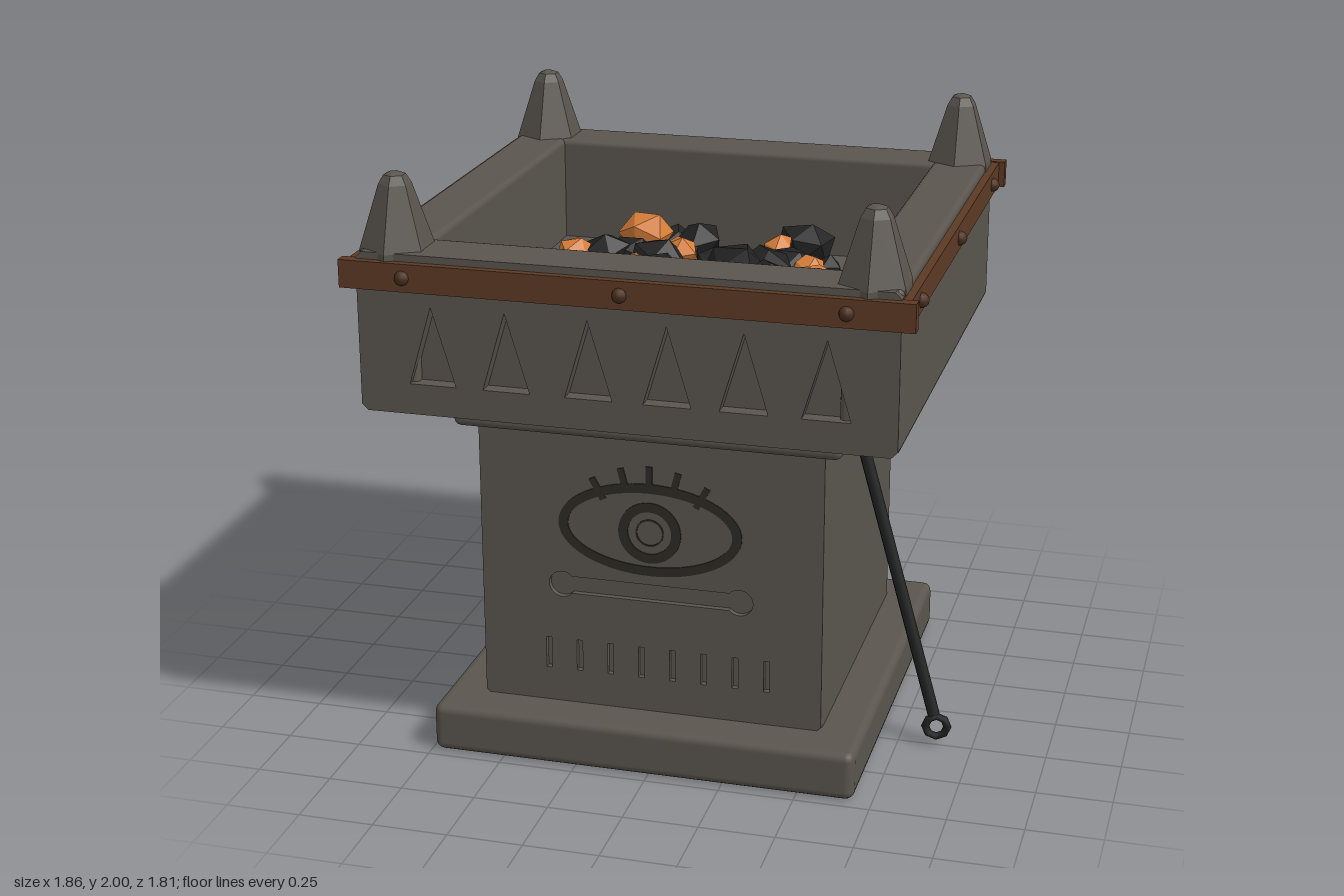
import * as THREE from 'three';
import { RoundedBoxGeometry } from 'three/addons/geometries/RoundedBoxGeometry.js';
import { mergeVertices } from 'three/addons/utils/BufferGeometryUtils.js';

const material = (name, color) => {
  const m = new THREE.MeshStandardMaterial({ color });
  m.name = name;
  return m;
};

export function createModel() {
  const model = new THREE.Group();
  model.name = 'stoneBrazier';
  const stone = material('stone', 0x5a554e);
  const groove = material('darkGroove', 0x2c2a27);
  const wood = material('brownBand', 0x5c3a24);
  const stud = material('brownStud', 0x4a2f1f);
  const coal = material('coal', 0x222222);
  const ember = material('ember', 0xd97f3a);
  const iron = material('iron', 0x1f2121);
  const CX = -0.025; // the stonework sits slightly off centre because of the poker

  const add = (name, geometry, mat, x = 0, y = 0, z = 0, parent = model) => {
    const mesh = new THREE.Mesh(geometry, mat);
    mesh.name = name;
    mesh.position.set(x, y, z);
    parent.add(mesh);
    return mesh;
  };
  // Rounded block given by its limits; x is measured from the stone centre
  const block = (name, x0, x1, y0, y1, z0, z1, r) =>
    add(name, new RoundedBoxGeometry(x1 - x0, y1 - y0, z1 - z0, 2, r), stone,
      CX + (x0 + x1) / 2, (y0 + y1) / 2, (z0 + z1) / 2);
  const polygon = (points) => new THREE.Shape(points.map(([x, y]) => new THREE.Vector2(x, y)));
  // Front slab with cut-outs and clipped corners
  const panel = (name, w, y0, y1, z0, z1, holes, c) => {
    const shape = polygon([[-w + c, y0], [w - c, y0], [w, y0 + c], [w, y1 - c],
      [w - c, y1], [c - w, y1], [-w, y1 - c], [-w, y0 + c]]);
    shape.holes = holes;
    add(name, new THREE.ExtrudeGeometry(shape, { depth: z1 - z0, bevelEnabled: false }), stone, CX, 0, z0);
  };

  // Plinth, column and neck
  block('plinth', -0.715, 0.715, 0, 0.167, -0.72, 0.72, 0.03);
  block('column', -0.575, 0.575, 0.15, 1.15, -0.575, 0.555, 0.015);
  block('neck', -0.64, 0.64, 1.135, 1.255, -0.64, 0.64, 0.025);

  // Column face with an engraved bar and a row of notches
  const bar = new THREE.Shape();
  const a = Math.asin(0.03 / 0.045);
  bar.absarc(0.3, 0.592, 0.045, a - Math.PI, Math.PI - a, false);
  bar.absarc(-0.3, 0.592, 0.045, a, 2 * Math.PI - a, false);
  bar.closePath();
  const notches = [];
  for (let i = 0; i < 8; i++) {
    const x = -0.36 + i * 0.106;
    notches.push(polygon([[x, 0.285], [x + 0.02, 0.285], [x + 0.02, 0.395], [x, 0.395]]));
  }
  panel('columnFace', 0.575, 0.167, 1.135, 0.535, 0.575, [bar, ...notches], 0.012);

  // Eye carving: almond outline, iris, pupil line and lashes
  const eye = new THREE.Group();
  eye.name = 'eyeCarving';
  eye.position.set(CX, 0.815, 0.573);
  model.add(eye);
  const ring = (name, rx, ry, t, y = 0) => {
    const shape = new THREE.Shape().absellipse(0, 0, rx, ry, 0, Math.PI * 2);
    shape.holes.push(new THREE.Path().absellipse(0, 0, rx - t, ry - t, 0, Math.PI * 2));
    add(name, new THREE.ExtrudeGeometry(shape, { depth: 0.006, bevelEnabled: false, curveSegments: 32 }),
      groove, 0, y, 0, eye);
  };
  ring('eyeOutline', 0.308, 0.16, 0.032);
  ring('iris', 0.105, 0.105, 0.032, -0.01);
  ring('pupil', 0.047, 0.047, 0.005, -0.01);
  for (let i = -2; i <= 2; i++) {
    const lash = add('lash', new THREE.BoxGeometry(0.022, 0.08, 0.006), groove,
      i * 0.087, 0.18 - i * i * 0.013, 0.003, eye);
    lash.rotation.z = -i * 0.25;
  }

  // Basin: floor, four walls and a front face with triangular niches
  add('basinFloor', new THREE.BoxGeometry(1.6, 0.16, 1.6), stone, CX, 1.33, 0);
  for (const s of [-1, 1]) {
    block('sideWall', s < 0 ? -0.855 : 0.67, s < 0 ? -0.67 : 0.855, 1.25, 1.77, -0.86, 0.84, 0.02);
  }
  block('backWall', -0.855, 0.855, 1.25, 1.77, -0.86, -0.67, 0.02);
  block('frontWall', -0.855, 0.855, 1.25, 1.77, 0.665, 0.81, 0.02);
  const niches = [-0.615, -0.375, -0.11, 0.14, 0.38, 0.635].map((x) =>
    polygon([[x - 0.076, 1.35], [x + 0.076, 1.35], [x, 1.605]]));
  panel('basinFace', 0.855, 1.25, 1.768, 0.78, 0.86, niches, 0.02);

  // Brown band with studs
  for (const s of [-1, 1]) {
    add('longBand', new THREE.BoxGeometry(1.805, 0.09, 0.04), wood, CX, 1.7, s * 0.866);
    add('sideBand', new THREE.BoxGeometry(0.04, 0.085, 1.72), wood, CX + s * 0.862, 1.7, 0);
    for (const p of [-0.695, 0, 0.695]) {
      const ball = new THREE.SphereGeometry(0.024, 10, 8);
      add('stud', ball, stud, CX + p, 1.7, s * 0.884);
      add('stud', ball, stud, CX + s * 0.884, 1.7, p);
    }
  }

  // Six-sided corner spikes
  const profile = [[0.118, 1.74], [0.118, 1.765], [0.052, 1.965], [0.035, 1.993], [0.018, 2], [0, 2]]
    .map(([r, y]) => new THREE.Vector2(r, y));
  const spike = new THREE.LatheGeometry(profile, 6).toNonIndexed();
  spike.computeVertexNormals();
  for (const sx of [-1, 1]) for (const sz of [-1, 1]) {
    add('cornerSpike', spike, stone, CX + sx * 0.755, 0, sz * 0.757);
  }

  // Poker leaning out from under the neck, with a ring at its lower end
  const top = new THREE.Vector3(0.54, 1.19, 0.155);
  const tip = new THREE.Vector3(0.867, 0.11, 0.245);
  const dir = top.clone().sub(tip);
  const rod = add('pokerRod', new THREE.CylinderGeometry(0.021, 0.021, dir.length(), 8), iron);
  rod.position.copy(top).add(tip).multiplyScalar(0.5);
  rod.quaternion.setFromUnitVectors(new THREE.Vector3(0, 1, 0), dir.normalize());
  const loop = add('pokerRing', new THREE.TorusGeometry(0.037, 0.014, 6, 8), iron, 0.878, 0.068, 0.249);
  loop.rotation.y = 0.15;

  // Lumps of fuel: each entry is x, z, radius in hundredths
  let seed = 7;
  const random = () => (seed = (seed * 16807) % 2147483647) / 2147483647;
  const lump = (name, mat, x, z, r) => {
    let g = new THREE.IcosahedronGeometry(r, 0);
    g.deleteAttribute('normal');
    g.deleteAttribute('uv');
    g = mergeVertices(g);
    const p = g.attributes.position;
    for (let i = 0; i < p.count; i++) {
      const k = 0.85 + random() * 0.3;
      p.setXYZ(i, p.getX(i) * k * 1.08, p.getY(i) * k * 0.85, p.getZ(i) * k * 0.98);
    }
    g = g.toNonIndexed();
    g.computeVertexNormals();
    const lift = 0.05 * Math.max(0, 1 - Math.hypot(x, z) / 0.6);
    const mesh = add(name, g, mat, x, 1.405 + r * 0.75 + lift, z);
    mesh.rotation.set(random() * 0.5, random() * 0.8 - 0.4, random() * 0.5);
  };
  const heap = (name, mat, rows, lift) => rows.forEach(([x, z, r]) => {
    lump(name, mat, x / 100, z / 100, r / 100);
    model.children[model.children.length - 1].position.y += lift;
  });
  heap('coalLump', coal, [
    [-25, -53, 7], [-14, -43, 9], [23, -52, 10], [-25, -34, 6], [-16, -28, 7], [-43, -32, 5],
    [-33, -28, 8], [-42, -23, 9], [35, -31, 6], [10, -23, 6], [24, -26, 8], [0, -15, 7],
    [-19, -10, 10], [19, -10, 10], [37, -10, 7], [-8, 0, 7], [11, 2, 12], [23, 7, 10],
    [51, -1, 6], [46, 9, 8], [-12, 14, 11], [-36, 29, 8], [-31, 25, 7], [-28, 40, 10],
    [30, 30, 8], [0, 50, 10], [3, 4, 6]], 0);
  heap('emberLump', ember, [
    [-32, -45, 9], [16, -40, 6], [-51, -18, 7], [-48, -22, 5], [-13, -18, 7], [32, -17, 6],
    [-25, 0, 6], [39, 2, 8], [26, -2, 4], [-29, 17, 7], [7, 22, 8], [6, 32, 7]], 0.035);

  return model;
}
